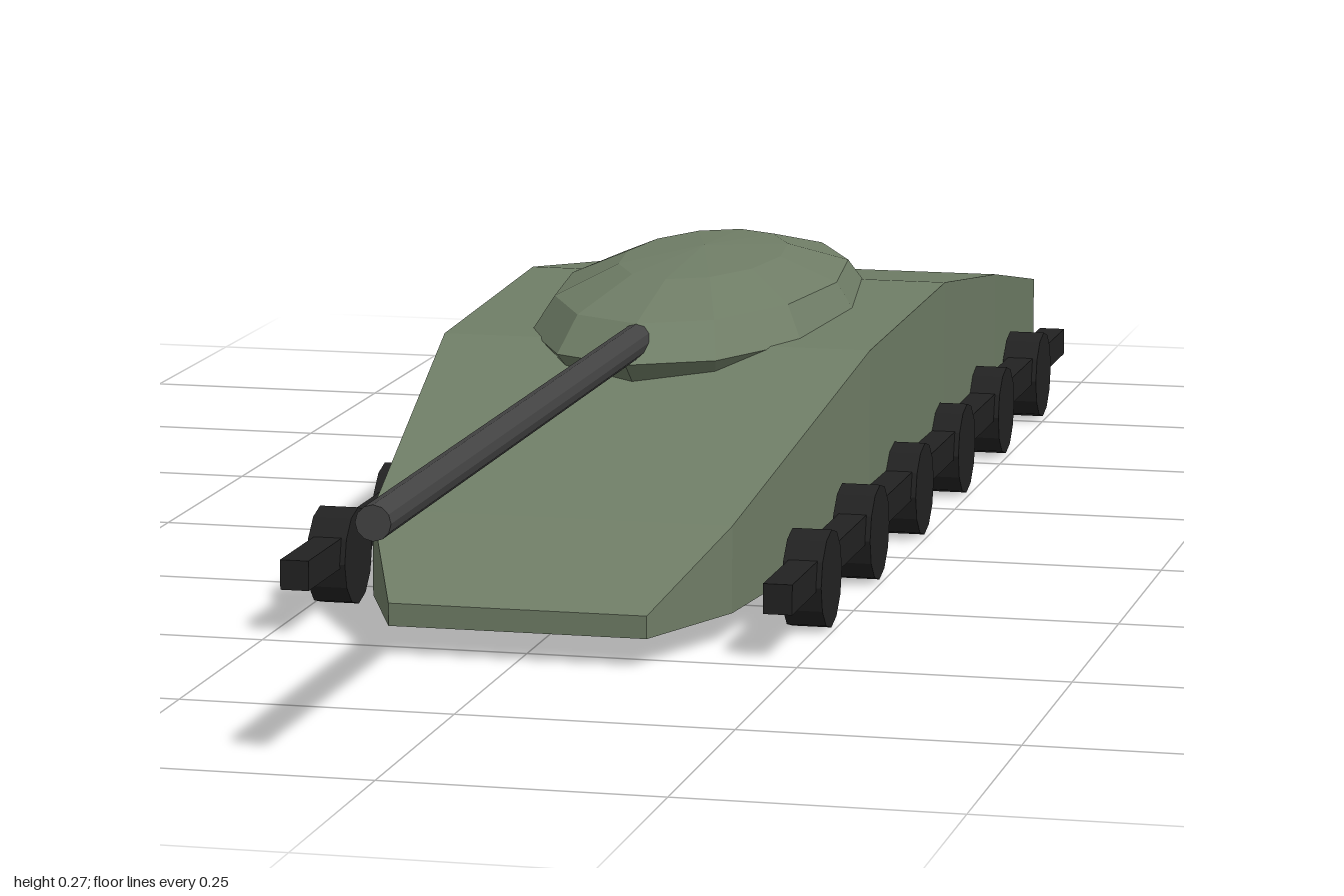
import * as THREE from 'three';

const paint = (color) => new THREE.MeshStandardMaterial({ color, flatShading: true });

// Box-section loft: stations run from back to front as [z, halfWidth, bottomY, topY].
function loft(stations) {
  const points = [];
  for (const [z, w, b, t] of stations) points.push(-w, b, z, w, b, z, w, t, z, -w, t, z);
  const index = [0, 2, 1, 0, 3, 2];
  const last = (stations.length - 1) * 4;
  index.push(last, last + 1, last + 2, last, last + 2, last + 3);
  for (let s = 0; s < last; s += 4) {
    for (let i = 0; i < 4; i++) {
      const a = s + i, b = s + (i + 1) % 4;
      index.push(a, b, b + 4, a, b + 4, a + 4);
    }
  }
  const geometry = new THREE.BufferGeometry();
  geometry.setAttribute('position', new THREE.Float32BufferAttribute(points, 3));
  geometry.setIndex(index);
  const flat = geometry.toNonIndexed();
  flat.computeVertexNormals();
  return flat;
}

export function createModel() {
  const model = new THREE.Group();
  const green = paint(0x6f7d66);
  const steel = paint(0x444444);
  const black = paint(0x222222);

  const add = (name, geometry, material, parent = model) => {
    const mesh = new THREE.Mesh(geometry, material);
    mesh.name = name;
    parent.add(mesh);
    return mesh;
  };

  // Wedge-shaped hull with a narrow nose and a tapering tail
  add('hull', loft([
    [-1, 0.195, 0.043, 0.115],
    [-0.68, 0.21, 0.033, 0.171],
    [-0.36, 0.217, 0.027, 0.213],
    [0, 0.213, 0.027, 0.203],
    [0.41, 0.17, 0.027, 0.108],
    [0.535, 0.12, 0.027, 0.048],
  ]), green);

  // Flattened faceted dome, half sunk into the hull
  const turret = add('turret', new THREE.SphereGeometry(1, 12, 6), green);
  turret.scale.set(0.157, 0.066, 0.333);
  turret.position.set(0, 0.201, -0.208);

  // Long gun barrel
  const barrel = add('gunBarrel', new THREE.CylinderGeometry(0.0155, 0.0155, 0.94, 12), steel);
  barrel.rotation.x = Math.PI / 2;
  barrel.position.set(0, 0.218, 0.53);

  // Running gear on both sides: a thin rail threaded through six wheels
  for (const side of [-1, 1]) {
    const gear = new THREE.Group();
    gear.name = side > 0 ? 'leftRunningGear' : 'rightRunningGear';
    gear.position.x = side * 0.2265;
    model.add(gear);

    const rail = add('trackRail', new THREE.BoxGeometry(0.027, 0.028, 1.415), black, gear);
    rail.position.set(0, 0.056, -0.233);

    for (let i = 0; i < 6; i++) {
      const wheel = add('wheel', new THREE.CylinderGeometry(0.046, 0.046, 0.037, 12), black, gear);
      wheel.rotation.z = Math.PI / 2;
      wheel.position.set(0, 0.046, 0.327 - i * 0.222);
    }
  }

  return model;
}
